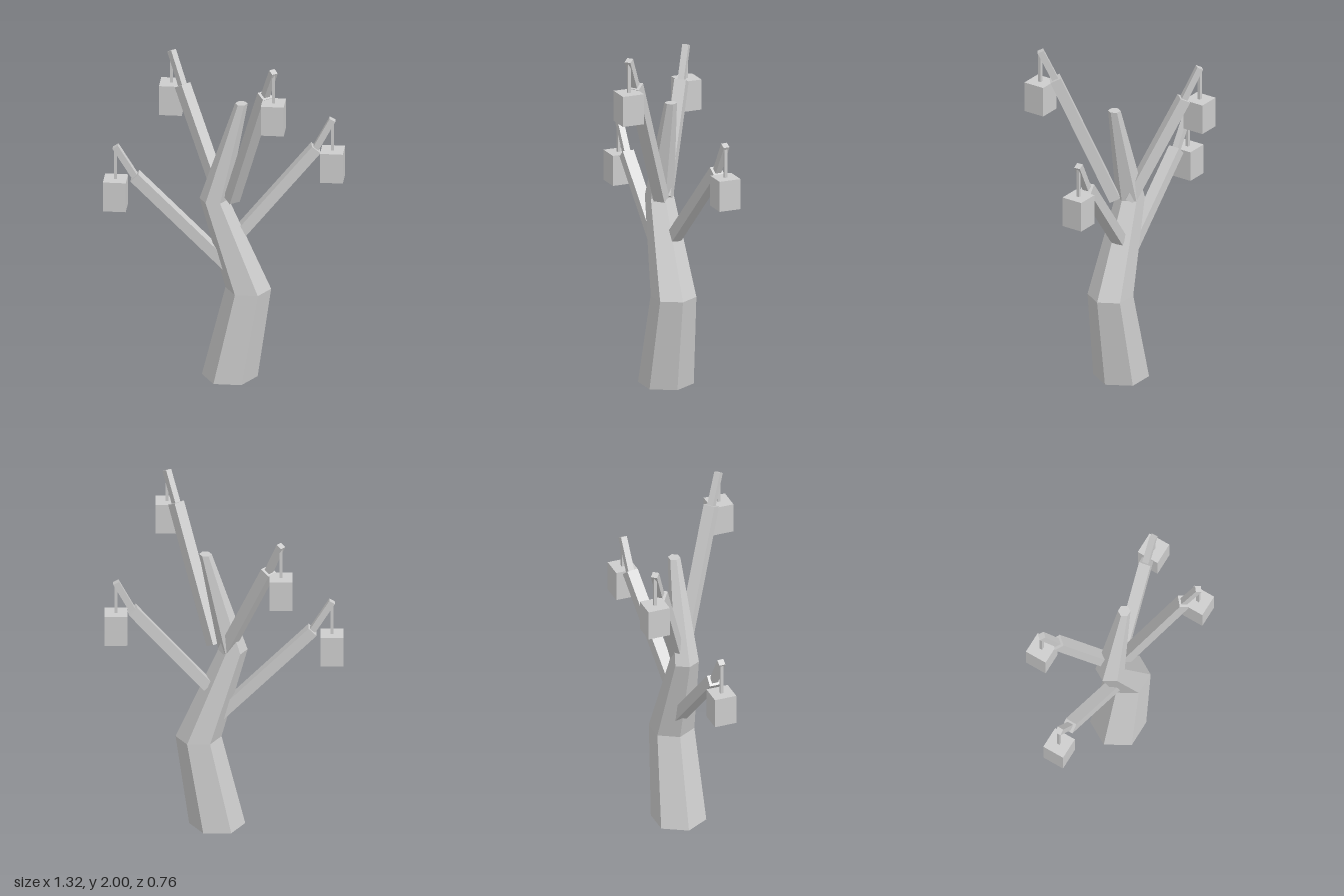
import * as THREE from 'three';

const wood = new THREE.MeshStandardMaterial({ color: 0xcccccc });
wood.name = 'pale grey';

// Flat-sided hexagonal trunk; each ring is [x, y, z, radius]
function trunkGeometry(rings) {
  const pos = [];
  const corner = ([x, y, z, r], i) => {
    const a = (i * Math.PI) / 3;
    return [x + r * Math.cos(a), y, z + r * Math.sin(a)];
  };
  const first = rings[0], last = rings[rings.length - 1];
  for (let i = 0; i < 6; i++) {
    for (let k = 0; k < rings.length - 1; k++) {
      const a = corner(rings[k], i), b = corner(rings[k], i + 1);
      const c = corner(rings[k + 1], i), d = corner(rings[k + 1], i + 1);
      pos.push(...a, ...c, ...b, ...b, ...c, ...d);
    }
    // End caps
    pos.push(...first.slice(0, 3), ...corner(first, i), ...corner(first, i + 1));
    pos.push(...last.slice(0, 3), ...corner(last, i + 1), ...corner(last, i));
  }
  const g = new THREE.BufferGeometry();
  g.setAttribute('position', new THREE.Float32BufferAttribute(pos, 3));
  g.computeVertexNormals();
  return g;
}

// Square beam between two points, its width kept horizontal
function beam(name, from, to, width, depth = width) {
  const a = new THREE.Vector3(...from), b = new THREE.Vector3(...to);
  const up = b.clone().sub(a);
  const mesh = new THREE.Mesh(new THREE.BoxGeometry(width, up.length(), depth), wood);
  mesh.name = name;
  up.normalize();
  const side = new THREE.Vector3(0, 1, 0).cross(up).normalize();
  const out = side.clone().cross(up);
  mesh.quaternion.setFromRotationMatrix(new THREE.Matrix4().makeBasis(side, up, out));
  mesh.position.copy(a).add(b).multiplyScalar(0.5);
  return mesh;
}

function box(name, size, at) {
  const mesh = new THREE.Mesh(new THREE.BoxGeometry(...size), wood);
  mesh.name = name;
  mesh.position.set(...at);
  return mesh;
}

// Branch, thinner twig, cord and hanging lantern
function lanternBranch(name, base, elbow, tip, lanternTop) {
  const group = new THREE.Group();
  group.name = name;
  const cordTop = tip[1] - 0.015;
  group.add(
    beam('branch', base, elbow, 0.067, 0.062),
    beam('twig', elbow, tip, 0.036),
    box('cord', [0.017, cordTop - lanternTop, 0.017], [tip[0], (cordTop + lanternTop) / 2, tip[2]]),
    box('lantern', [0.127, 0.174, 0.127], [tip[0], lanternTop - 0.087, tip[2]]),
  );
  return group;
}

export function createModel() {
  const model = new THREE.Group();
  model.name = 'lanternTree';

  const trunk = new THREE.Mesh(trunkGeometry([
    [0.035, 0, -0.035, 0.155],
    [0.138, 0.53, -0.035, 0.127],
    [-0.052, 1.06, -0.035, 0.081],
    [0.1, 1.64, -0.035, 0.035],
  ]), wood);
  trunk.name = 'trunk';
  model.add(trunk);

  model.add(
    lanternBranch('rightBranch', [0.02, 0.67, -0.035], [-0.492, 1.178, -0.035], [-0.6, 1.352, -0.035], 1.157),
    lanternBranch('leftBranch', [0.09, 0.855, -0.06], [0.503, 1.347, -0.135], [0.595, 1.52, -0.143], 1.335),
    lanternBranch('backBranch', [-0.01, 1.06, -0.055], [-0.25, 1.64, -0.258], [-0.317, 1.82, -0.317], 1.628),
    lanternBranch('frontBranch', [0.05, 1.075, 0], [0.262, 1.82, 0.252], [0.313, 1.99, 0.315], 1.805),
  );
  return model;
}
